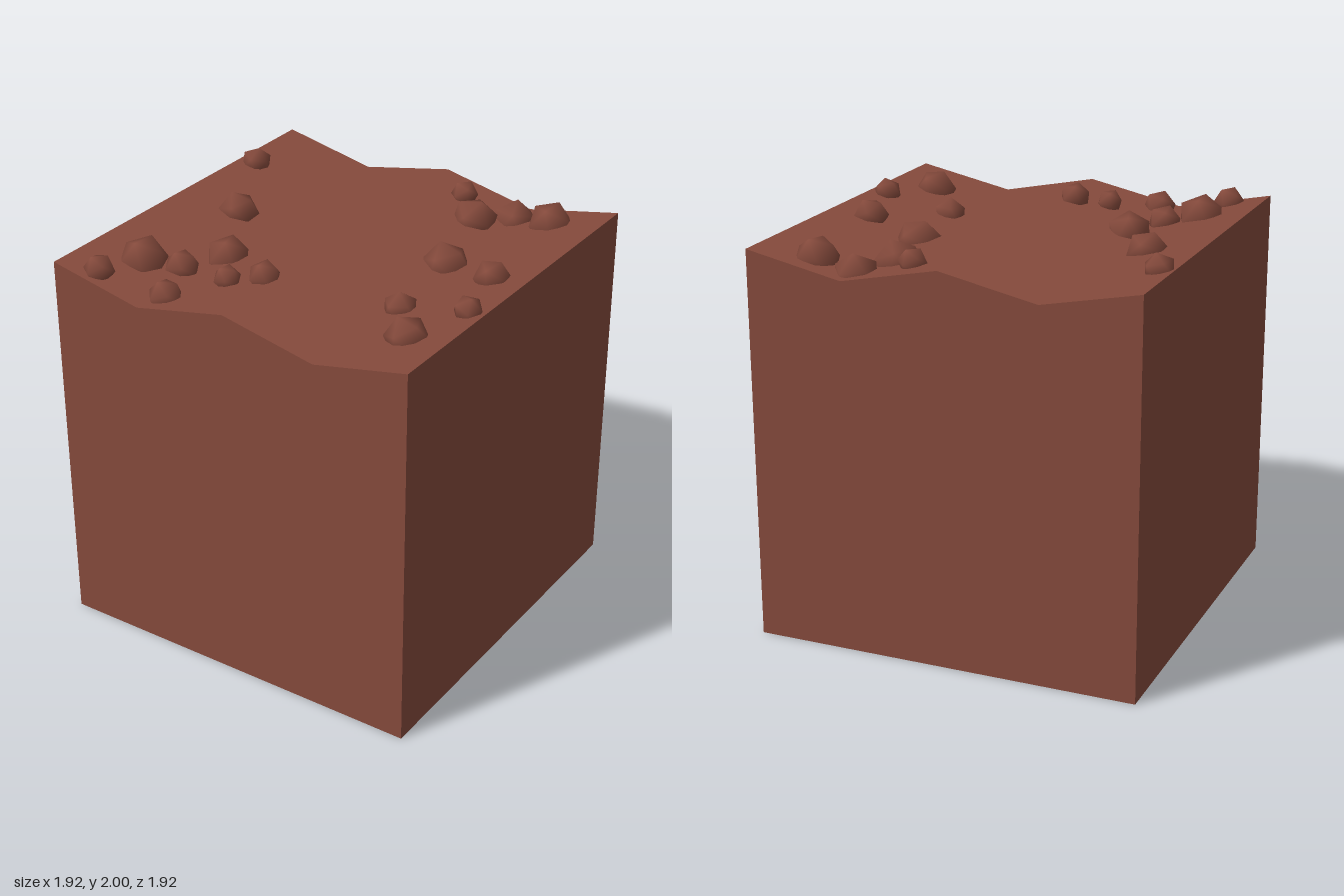
import * as THREE from 'three';
import { mergeVertices } from 'three/addons/utils/BufferGeometryUtils.js';

const SIDE = 1.92, HIGH = 1.93, DIP = 0.1;

// Zigzag ground height across x: ridges at the sides and middle, two valleys between
const groundHeight = (x) => HIGH - DIP * (1 - Math.abs(Math.abs(x) - 0.48) / 0.48);

// Half-buried stones: x, z, radius
const ROCKS = [
  [0.20, -0.79, 0.07], [0.475, -0.81, 0.113], [0.685, -0.785, 0.113], [0.335, -0.655, 0.118],
  [-0.88, -0.525, 0.079], [-0.665, -0.075, 0.104], [0.455, -0.19, 0.122], [0.77, -0.07, 0.09],
  [-0.435, 0.325, 0.114], [0.525, 0.325, 0.084], [0.87, 0.315, 0.072], [-0.705, 0.62, 0.122],
  [-0.54, 0.545, 0.086], [-0.225, 0.615, 0.067], [-0.065, 0.545, 0.08], [0.74, 0.615, 0.106],
  [-0.77, 0.865, 0.077], [-0.415, 0.83, 0.085],
];

function makeRandom(seed) {
  return () => {
    seed = (seed * 16807) % 2147483647;
    return seed / 2147483647;
  };
}

// Twenty-sided stone with shared vertices for soft shading
function rockGeometry(radius, random) {
  let geometry = new THREE.IcosahedronGeometry(radius, 0);
  geometry.deleteAttribute('normal');
  geometry.deleteAttribute('uv');
  geometry = mergeVertices(geometry);
  geometry.rotateX(random() * Math.PI * 2);
  geometry.rotateY(random() * Math.PI * 2);
  geometry.rotateZ(random() * Math.PI * 2);
  geometry.computeVertexNormals();
  geometry.computeBoundingBox();
  return geometry;
}

export function createModel() {
  const model = new THREE.Group();
  model.name = 'soilBlock';
  const soil = new THREE.MeshStandardMaterial({ color: 0x854a3c });
  soil.name = 'redBrownSoil';

  // Block whose top vertices follow the ground line; the box normals are kept for even shading
  const ground = new THREE.BoxGeometry(SIDE, HIGH, SIDE, 4, 1, 1);
  ground.translate(0, HIGH / 2, 0);
  const position = ground.attributes.position;
  for (let i = 0; i < position.count; i++) {
    if (position.getY(i) > HIGH / 2) position.setY(i, groundHeight(position.getX(i)));
  }
  const block = new THREE.Mesh(ground, soil);
  block.name = 'ground';
  model.add(block);

  // Stones scattered over the top, each sunk about halfway
  const rocks = new THREE.Group();
  rocks.name = 'rocks';
  const random = makeRandom(4217);
  ROCKS.forEach(([x, z, radius], i) => {
    const geometry = rockGeometry(radius, random);
    const rock = new THREE.Mesh(geometry, soil);
    rock.name = `rock${i + 1}`;
    const exposed = 0.05 + radius * 0.42;
    rock.position.set(x, groundHeight(x) + exposed - geometry.boundingBox.max.y, z);
    rocks.add(rock);
  });
  model.add(rocks);
  return model;
}
